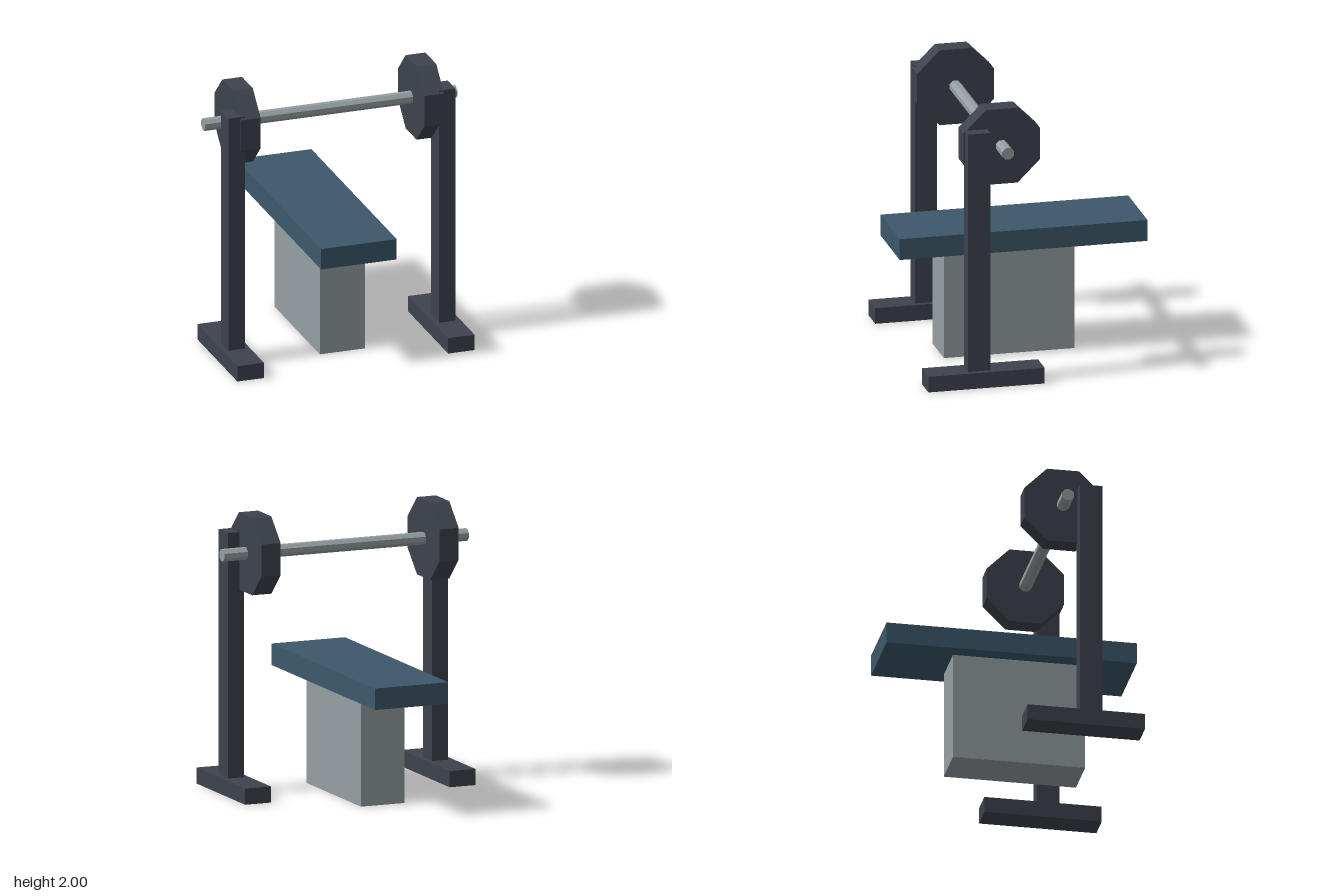
import * as THREE from 'three';

const material = (name, color) => {
  const m = new THREE.MeshStandardMaterial({ color, flatShading: true });
  m.name = name;
  return m;
};

export function createModel() {
  const darkSteel = material('darkSteel', 0x3d434d);
  const greySteel = material('greySteel', 0x959fa3);
  const bluePad = material('bluePad', 0x3c586b);
  const model = new THREE.Group();
  model.name = 'weightBench';

  const add = (name, geometry, mat) => {
    const mesh = new THREE.Mesh(geometry, mat);
    mesh.name = name;
    model.add(mesh);
  };

  // Box given by its lower and upper limits on each axis
  const box = (name, mat, [x0, x1], [y0, y1], [z0, z1]) => {
    const g = new THREE.BoxGeometry(x1 - x0, y1 - y0, z1 - z0);
    g.translate((x0 + x1) / 2, (y0 + y1) / 2, (z0 + z1) / 2);
    add(name, g, mat);
  };

  // Octagonal prism lying along x, flat sides up, sized by half its width
  const octagon = (name, mat, half, x0, x1, y, z) => {
    const r = half / Math.cos(Math.PI / 8);
    const g = new THREE.CylinderGeometry(r, r, x1 - x0, 8);
    g.rotateY(Math.PI / 8).rotateZ(Math.PI / 2);
    g.translate((x0 + x1) / 2, y, z);
    add(name, g, mat);
  };

  // Bench
  box('benchPad', bluePad, [-0.28, 0.28], [0.785, 0.938], [-0.89, 0.89]);
  box('benchBase', greySteel, [-0.167, 0.167], [0, 0.785], [-0.395, 0.545]);

  // Rack and weight plate on each side
  for (const [side, s] of [['left', 1], ['right', -1]]) {
    const span = (a, b) => (s > 0 ? [a, b] : [-b, -a]);
    box(side + 'Foot', darkSteel, span(0.682, 0.878), [0, 0.115], [-0.005, 0.83]);
    box(side + 'Post', darkSteel, span(0.718, 0.84), [0.115, 1.86], [0.376, 0.536]);
    octagon(side + 'WeightPlate', darkSteel, 0.275, ...span(0.606, 0.752), 1.725, 0.272);
  }

  // Bar
  octagon('bar', greySteel, 0.042, -0.933, 0.933, 1.728, 0.272);

  return model;
}
